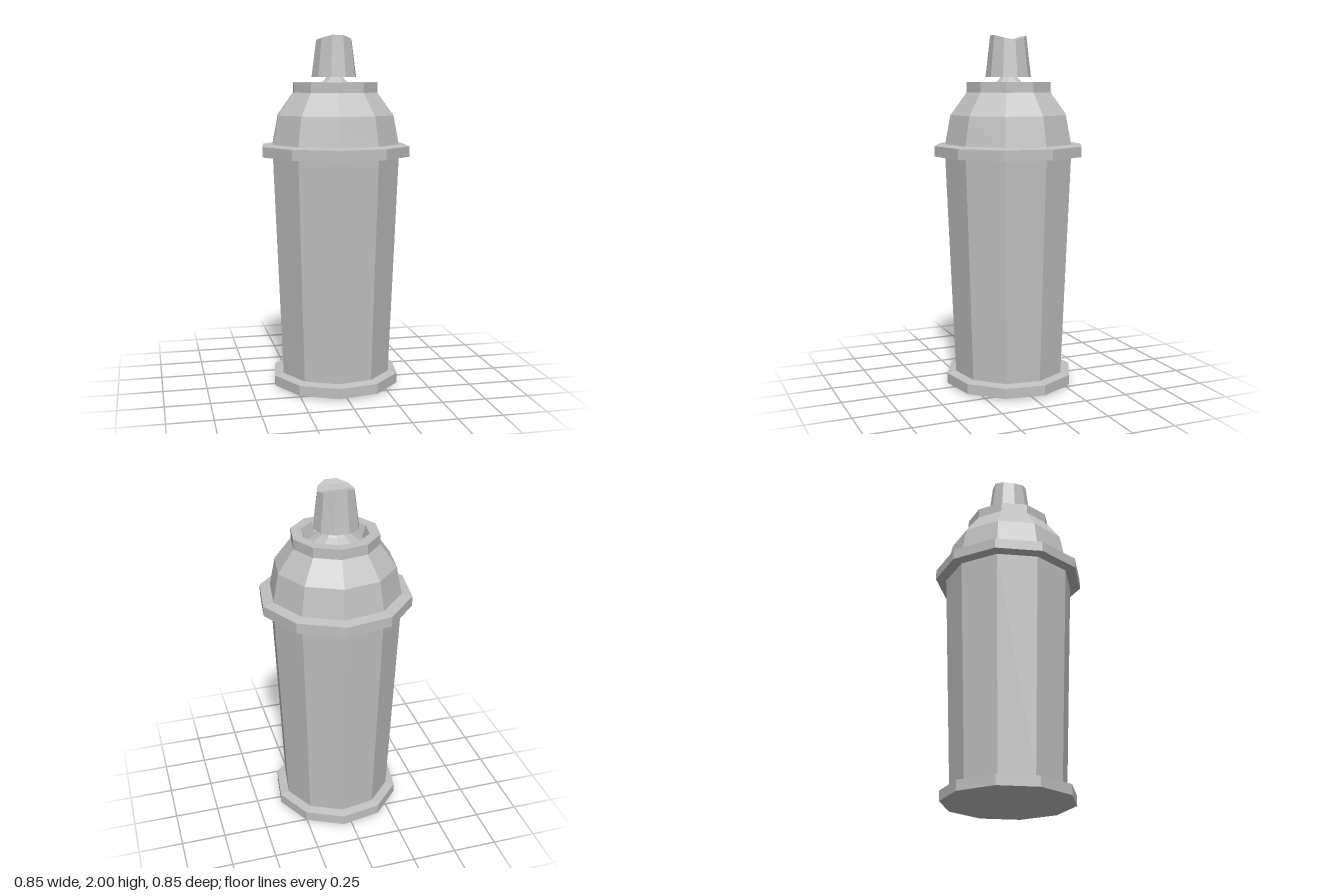
import * as THREE from 'three';

const SIDES = 10;
const TWIST = THREE.MathUtils.degToRad(-8);

// Flat facets, baked into the normals
function faceted(geometry) {
  const flat = geometry.toNonIndexed();
  flat.computeVertexNormals();
  return flat;
}

// Ten-sided turned part from [radius, height] pairs, listed upward on the outside
function turned(profile, start = TWIST) {
  const points = profile.map(([r, y]) => new THREE.Vector2(r, y));
  return faceted(new THREE.LatheGeometry(points, SIDES, start));
}

// Saddle-shaped finger rest closing the top of the nozzle
function fingerRest(radius, low, dip) {
  const geometry = new THREE.PlaneGeometry(2, 1, 1, 4).rotateX(-Math.PI / 2);
  const pos = geometry.attributes.position;
  for (let i = 0; i < pos.count; i++) {
    const a = (Math.floor(i / 2) - 2) * Math.PI / 5;
    const z = radius * Math.sin(a);
    pos.setXYZ(i, Math.sign(pos.getX(i)) * radius * Math.cos(a), restHeight(z, radius, low, dip), z);
  }
  return faceted(geometry);
}

function restHeight(z, radius, low, dip) {
  return low + dip * (z / (radius * Math.sin(Math.PI * 0.4))) ** 2;
}

// Tapered nozzle wall whose top rim follows the finger rest
function nozzleWall(radius, low, dip) {
  const points = [[0, 1.77], [0.129, 1.77], [radius, low]].map(([r, y]) => new THREE.Vector2(r, y));
  const geometry = new THREE.LatheGeometry(points, SIDES, Math.PI / 2);
  const pos = geometry.attributes.position;
  for (let i = 0; i < pos.count; i++) {
    if (pos.getY(i) > 1.9) pos.setY(i, restHeight(pos.getZ(i), radius, low, dip));
  }
  return faceted(geometry);
}

export function createModel() {
  const model = new THREE.Group();
  model.name = 'sprayCan';
  const grey = new THREE.MeshStandardMaterial({ color: 0xc0c0c0 });
  grey.name = 'grey';

  const add = (name, geometry, parent = model) => {
    const mesh = new THREE.Mesh(geometry, grey);
    mesh.name = name;
    parent.add(mesh);
  };

  // Can
  add('baseRim', turned([[0, 0], [0.37, 0.012], [0.37, 0.07], [0.318, 0.08]]));
  add('body', turned([[0.318, 0.08], [0.37, 1.325]]));
  add('shoulderRim', turned([[0.37, 1.325], [0.43, 1.33], [0.43, 1.388], [0.37, 1.398]]));
  add('dome', turned([[0.37, 1.398], [0.338, 1.56], [0.245, 1.685]]));

  // Collar with a recess that rises to the valve stem
  add('collar', turned([[0.245, 1.685], [0.245, 1.742], [0.186, 1.742], [0.165, 1.68]]));
  add('valveStem', turned([[0.165, 1.68], [0.08, 1.735], [0.045, 1.772]]));

  // Nozzle
  const nozzle = new THREE.Group();
  nozzle.name = 'nozzle';
  nozzle.position.set(-0.005, 0, 0.002);
  model.add(nozzle);
  add('nozzleWall', nozzleWall(0.102, 1.974, 0.026), nozzle);
  add('fingerRest', fingerRest(0.102, 1.974, 0.026), nozzle);

  return model;
}
